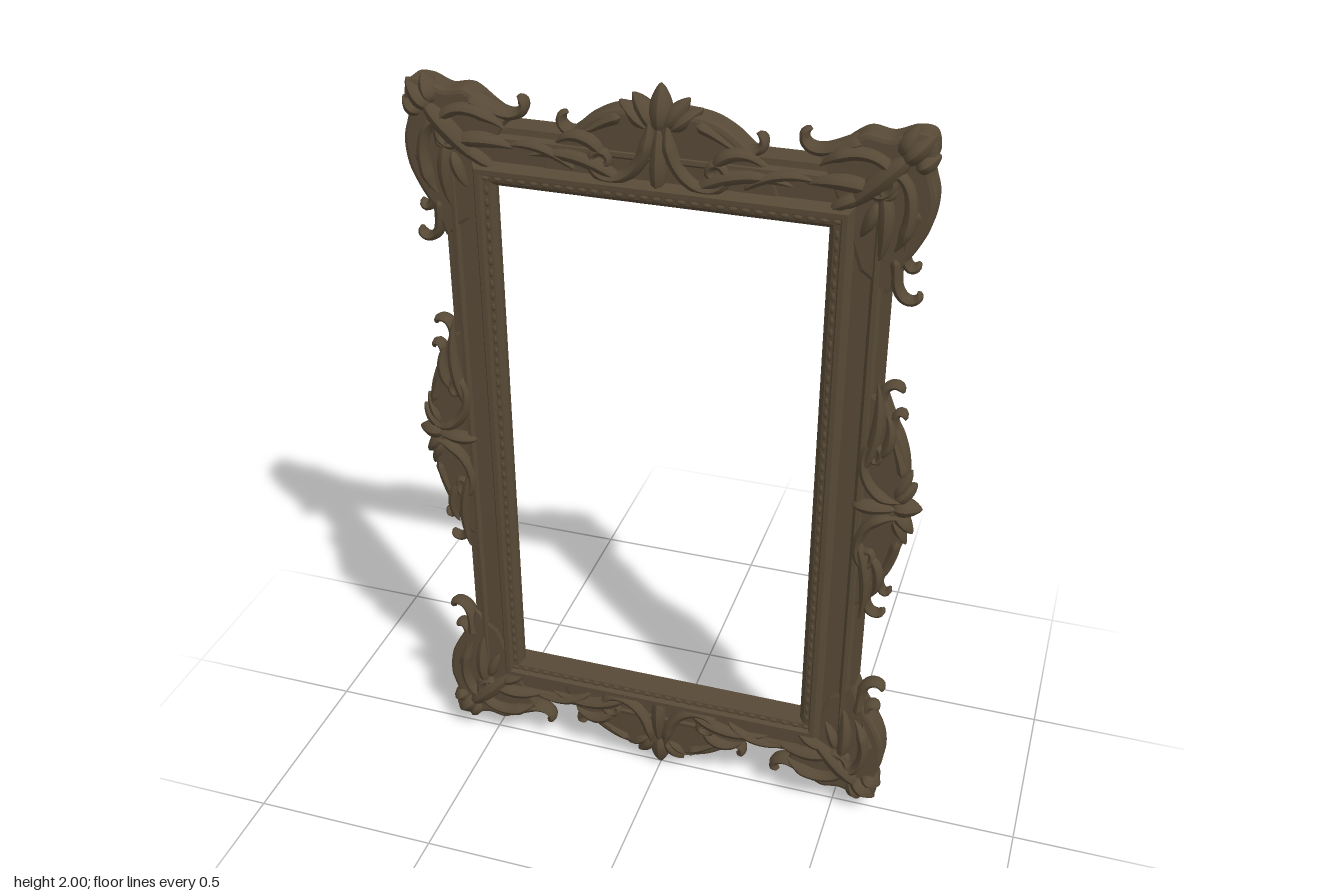
import * as THREE from 'three';
import { mergeGeometries } from 'three/addons/utils/BufferGeometryUtils.js';

const wood = new THREE.MeshStandardMaterial({ color: 0x574936 });
wood.name = 'dark bronze wood';

const CENTRE = 1.004, HALF_W = 0.4, HALF_H = 0.714;

// Moulded rail: a profile of [distance from opening, z] carried round the rectangle.
function railGeometry(profile) {
  const pos = [];
  const corners = [[1, 1], [-1, 1], [-1, -1], [1, -1]];
  const at = ([u, z], c) => {
    const [sx, sy] = corners[c % 4];
    return [sx * (HALF_W + u), CENTRE + sy * (HALF_H + u), z];
  };
  for (let c = 0; c < 4; c++) {
    profile.forEach((p, i) => {
      const q = profile[(i + 1) % profile.length];
      const a = at(p, c), b = at(q, c), d = at(p, c + 1), e = at(q, c + 1);
      pos.push(...a, ...e, ...b, ...a, ...d, ...e);
    });
  }
  const g = new THREE.BufferGeometry();
  g.setAttribute('position', new THREE.Float32BufferAttribute(pos, 3));
  g.computeVertexNormals();
  return g;
}

// Row of small beads round the inner moulding.
function beadingGeometry() {
  const beads = [], w = HALF_W + 0.02, h = HALF_H + 0.02;
  const bead = (x, y, rx, ry) => beads.push(
    new THREE.SphereGeometry(1, 6, 4).scale(rx, ry, 0.006).translate(x, CENTRE + y, 0.037));
  for (const s of [-1, 1]) {
    for (let i = 0; i <= 28; i++) bead(-w + 2 * w * i / 28, s * h, 0.012, 0.006);
    for (let i = 1; i < 48; i++) bead(s * w, -h + 2 * h * i / 48, 0.006, 0.012);
  }
  return mergeGeometries(beads);
}

// Backing plate with a curved outer edge and softened rim.
function plateGeometry(pts, z0, z1) {
  const v = pts.map(p => new THREE.Vector2(...p)), bevel = 0.012;
  const shape = new THREE.Shape();
  shape.moveTo(v[0].x, v[0].y);
  shape.lineTo(v[1].x, v[1].y);
  shape.splineThru(v.slice(2, -1));
  shape.lineTo(v.at(-1).x, v.at(-1).y);
  return new THREE.ExtrudeGeometry(shape, {
    depth: z1 - z0 - 2 * bevel, bevelThickness: bevel, bevelSize: bevel, bevelOffset: -bevel,
    bevelSegments: 2, curveSegments: 30,
  }).translate(0, 0, z0 + bevel);
}

// A carved stroke starts at (x, y), sets off at a heading in degrees, bends steadily
// and winds up by the curl angle towards its tip.
function strokePath({ at: [x, y], heading, length, bend = 0, curl = 0 }) {
  const n = 30, pts = [[x, y]];
  for (let i = 0; i < n; i++) {
    const t = (i + 0.5) / n, a = THREE.MathUtils.degToRad(heading + bend * t + curl * t ** 4);
    x += Math.cos(a) * length / n;
    y += Math.sin(a) * length / n;
    pts.push([x, y]);
  }
  return pts;
}

// Leaves swell in the middle; curling strokes stay full until a rounded tip.
const leafTaper = t => Math.sin(Math.PI * t ** 0.75) ** 0.7;
const curlTaper = t => Math.min(1, t * 6 + 0.1) * (1 - 0.5 * t) * Math.sqrt(Math.min(1, (1 - t) * 12));

function sweepGeometry(pts, r, depth, z, taper) {
  const curve = new THREE.CatmullRomCurve3(pts.map(([x, y]) => new THREE.Vector3(x, y, z)));
  const n = 32, sides = 8;
  const g = new THREE.TubeGeometry(curve, n, r, sides, false);
  const p = g.attributes.position, v = new THREE.Vector3();
  for (let i = 0; i <= n; i++) {
    const c = curve.getPointAt(i / n), k = Math.max(0.02, taper(Math.min(1, i / n)));
    for (let j = 0; j <= sides; j++) {
      const id = i * (sides + 1) + j;
      v.fromBufferAttribute(p, id).sub(c).multiplyScalar(k);
      p.setXYZ(id, c.x + v.x, c.y + v.y, c.z + v.z * depth / r);
    }
  }
  g.computeVertexNormals();
  return g;
}

// Cartouche in [along, outward] coordinates, shared by the crests and the sides
const cartouche = [
  { name: 'FinialLeaf', axis: true, r: 0.03, depth: 0.036, z: 0, at: [0, 0.14], heading: 90, length: 0.12 },
  { name: 'FinialLobe', r: 0.024, depth: 0.034, z: 0, at: [0.01, 0.15], heading: 60, length: 0.1, bend: -10 },
  { name: 'FinialLobe', r: 0.02, depth: 0.034, z: 0, at: [0.02, 0.15], heading: 40, length: 0.1, bend: -5 },
  { name: 'Heart', axis: true, r: 0.022, depth: 0.03, z: 0.02, at: [0, 0], heading: 90, length: 0.17 },
  { name: 'Scroll', r: 0.019, depth: 0.026, z: 0.024, at: [0.022, 0.18], heading: -95, length: 0.38, bend: 120, curl: 470 },
  { name: 'Leaf', r: 0.019, depth: 0.022, z: 0.024, at: [0.08, 0.02], heading: 40, length: 0.25, bend: -60 },
  { name: 'Leaf', r: 0.017, depth: 0.02, z: 0.026, at: [0.13, 0.08], heading: 70, length: 0.14, bend: -120 },
  { name: 'EdgeCurl', r: 0.02, depth: 0.038, z: 0, at: [0.065, 0.183], heading: -10, length: 0.23, bend: -70, curl: 280 },
];
const cartoucheEdge = [[0, 0], [0, 0.2], [0.06, 0.2], [0.12, 0.19], [0.17, 0.165], [0.21, 0.132], [0.265, 0.095], [0.3, 0]];

// Corner acanthus, reflected across the mitre
const corner = [
  { name: 'Lobe', axis: true, r: 0.026, depth: 0.044, z: 0.01, at: [0.55, 0.885], heading: 45, length: 0.095 },
  { name: 'Lobe', r: 0.022, depth: 0.04, z: 0.008, at: [0.545, 0.9], heading: 65, length: 0.075 },
  { name: 'Heart', axis: true, r: 0.025, depth: 0.026, z: 0.028, at: [0.57, 0.905], heading: -135, length: 0.2 },
  { name: 'Scroll', r: 0.018, depth: 0.027, z: 0.027, at: [0.37, 0.86], heading: 45, length: 0.36, bend: -150, curl: -450 },
  { name: 'Leaf', r: 0.02, depth: 0.024, z: 0.026, at: [0.5, 0.815], heading: 160, length: 0.16, bend: 40 },
  { name: 'Leaf', r: 0.016, depth: 0.02, z: 0.028, at: [0.47, 0.8], heading: 200, length: 0.09, bend: 20 },
  { name: 'Curl', r: 0.021, depth: 0.038, z: 0, at: [0.48, 0.925], heading: 195, length: 0.2, bend: 30, curl: -240 },
];
const cornerEdge = [[0.42, 0.76], [0.37, 0.88], [0.41, 0.905], [0.465, 0.942], [0.52, 0.937], [0.57, 0.955], [0.61, 0.95],
  [0.622, 0.91], [0.615, 0.87], [0.63, 0.81], [0.624, 0.745], [0.6, 0.69], [0.57, 0.64], [0.54, 0.57], [0.47, 0.62]];

// Single strokes between the cartouches and the corners
const links = [
  { name: 'CrestVine', r: 0.014, depth: 0.02, z: 0.022, at: [0.2, 0.78], heading: 45, length: 0.2, bend: -70 },
  { name: 'SideCurl', r: 0.018, depth: 0.032, z: 0, at: [0.552, 0.2], heading: 92, length: 0.18, bend: 20, curl: -230 },
  { name: 'CornerCurl', r: 0.019, depth: 0.033, z: 0.004, at: [0.55, 0.68], heading: -85, length: 0.18, bend: -10, curl: 240 },
];

// Placements of local points in the upper left quadrant, measured from the middle
const direct = p => p;
const onCrest = ([a, o]) => [a, 0.74 + o];
const onSide = ([a, o]) => [0.495 + 0.66 * o, 1.1 * a];
const acrossMitre = ([x, y]) => [0.62 - (0.955 - y) * 0.75, 0.955 - (0.62 - x) * 1.1];

export function createModel() {
  const model = new THREE.Group();
  model.name = 'ornateFrame';
  const add = (name, geometry) => {
    const mesh = new THREE.Mesh(geometry, wood);
    mesh.name = name;
    model.add(mesh);
  };

  // Rail with a rebate behind and a stepped moulding in front
  add('mouldedRail', railGeometry([
    [0.03, -0.056], [0.14, -0.056], [0.14, 0.012], [0.125, 0.014], [0.118, 0.028], [0.108, 0.03], [0.1, 0.022],
    [0.058, 0.022], [0.05, 0.04], [0.044, 0.049], [0.032, 0.049], [0.027, 0.038], [0.012, 0.036], [0, 0.024],
    [0, 0.008], [0.03, 0.008],
  ]));
  add('beading', beadingGeometry());

  // Carving in all four quadrants; strokes on an axis are built once
  for (const sx of [1, -1]) {
    for (const sy of [1, -1]) {
      const put = (pts, place) => pts.map(place).map(([x, y]) => [x * sx, 1 + y * sy]);
      const carve = (prefix, strokes, place, skipAxis, size = 1) => {
        for (const s of strokes) {
          if (s.axis && skipAxis) continue;
          const taper = s.curl ? curlTaper : leafTaper;
          add(prefix + s.name, sweepGeometry(put(strokePath(s), place), s.r * size, s.depth * size, s.z, taper));
        }
      };
      add('crestPlate', plateGeometry(put(cartoucheEdge, onCrest), -0.05, 0.024));
      add('sidePlate', plateGeometry(put(cartoucheEdge, onSide), -0.045, 0.02));
      add('cornerPlate', plateGeometry(put(cornerEdge, direct), -0.052, 0.026));
      carve('crest', cartouche, onCrest, sx < 0);
      carve('side', cartouche, onSide, sy < 0, 0.85);
      carve('corner', corner, direct, false);
      carve('corner', corner, acrossMitre, true);
      carve('link', links, direct, false);
    }
  }
  return model;
}
